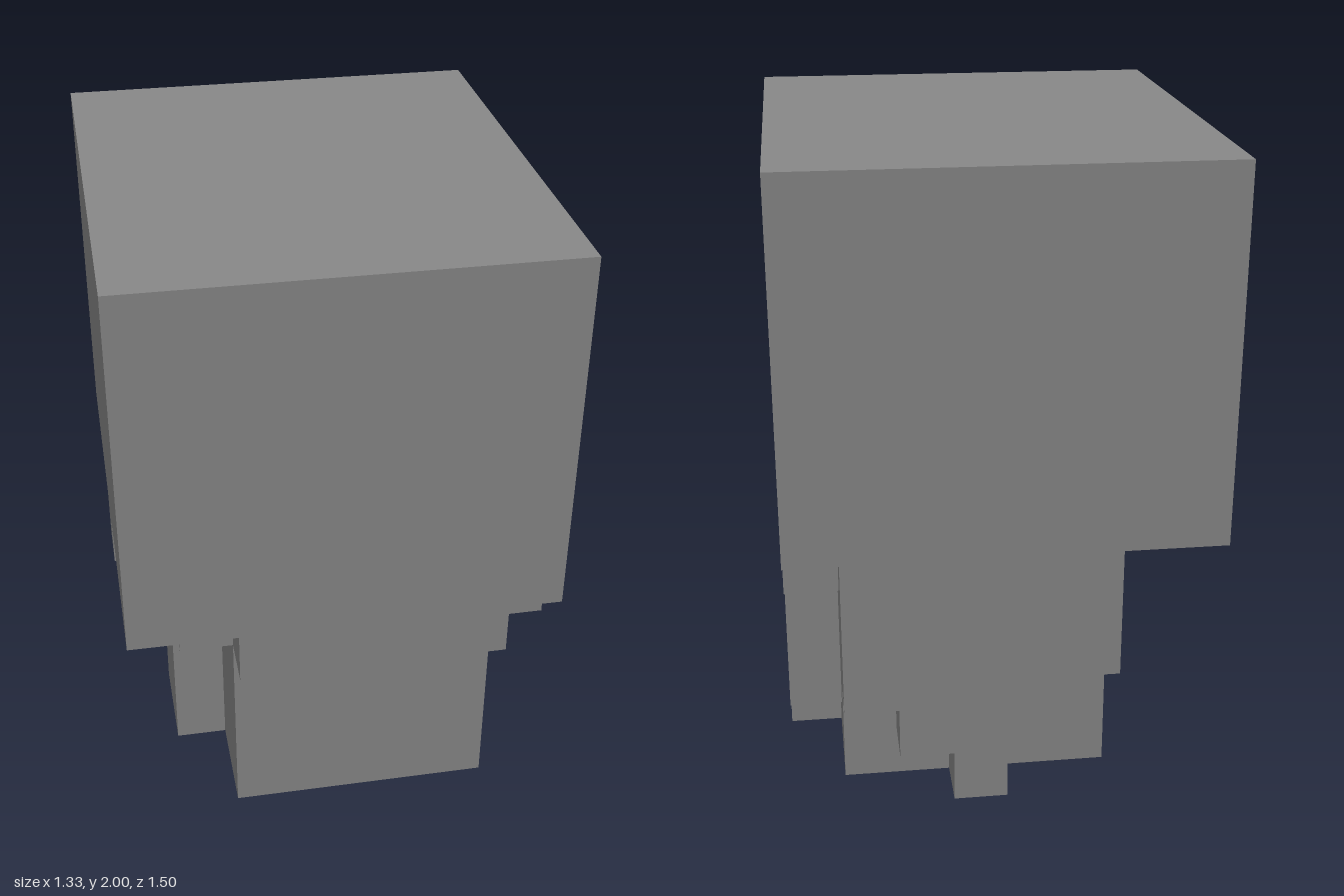
import * as THREE from 'three';

const U = 1 / 6; // one block
const TOP = 5;   // block height where the head begins

const grey = new THREE.MeshStandardMaterial({ color: 0x888888 });
grey.name = 'grey';

// Box between block corners, counted from the right (-x), the ground and the back (-z)
function block(name, [x0, y0, z0], [x1, y1, z1]) {
  const geometry = new THREE.BoxGeometry((x1 - x0) * U, (y1 - y0) * U, (z1 - z0) * U);
  const mesh = new THREE.Mesh(geometry, grey);
  mesh.name = name;
  mesh.position.set(((x0 + x1) / 2 - 4) * U, ((y0 + y1) / 2) * U, ((z0 + z1) / 2 - 4.5) * U);
  return mesh;
}

// Row of columns hanging from the head: each run is [first, end, bottom] along the given axis
function fringe(name, axis, layer, runs) {
  const group = new THREE.Group();
  group.name = name;
  for (const [a, b, bottom] of runs) {
    group.add(axis === 'x'
      ? block(name + 'Column', [a, bottom, layer], [b, TOP, layer + 1])
      : block(name + 'Column', [layer, bottom, a], [layer + 1, TOP, b]));
  }
  return group;
}

export function createModel() {
  const model = new THREE.Group();
  model.name = 'blockHead';

  // Large upper block and the narrower core under it
  model.add(block('head', [0, TOP, 0], [8, 12, 9]));
  model.add(block('core', [2, 0, 1], [7, TOP, 8]));

  // Stepped fringes on the four sides
  model.add(fringe('frontFringe', 'x', 8, [[2, 7, 4]]));
  model.add(fringe('backFringe', 'x', 0, [[2, 3, 4], [3, 4, 1], [4, 5, 0], [5, 6, 1], [6, 7, 2]]));
  model.add(fringe('leftFringe', 'z', 7, [[1, 2, 4], [2, 3, 1], [3, 4, 0], [4, 5, 1], [5, 8, 4]]));
  model.add(fringe('rightFringe', 'z', 1, [[3, 4, 4], [4, 6, 0], [7, 8, 4]]));
  model.add(fringe('rightOuterFringe', 'z', 0, [[4, 5, 4]]));

  return model;
}
